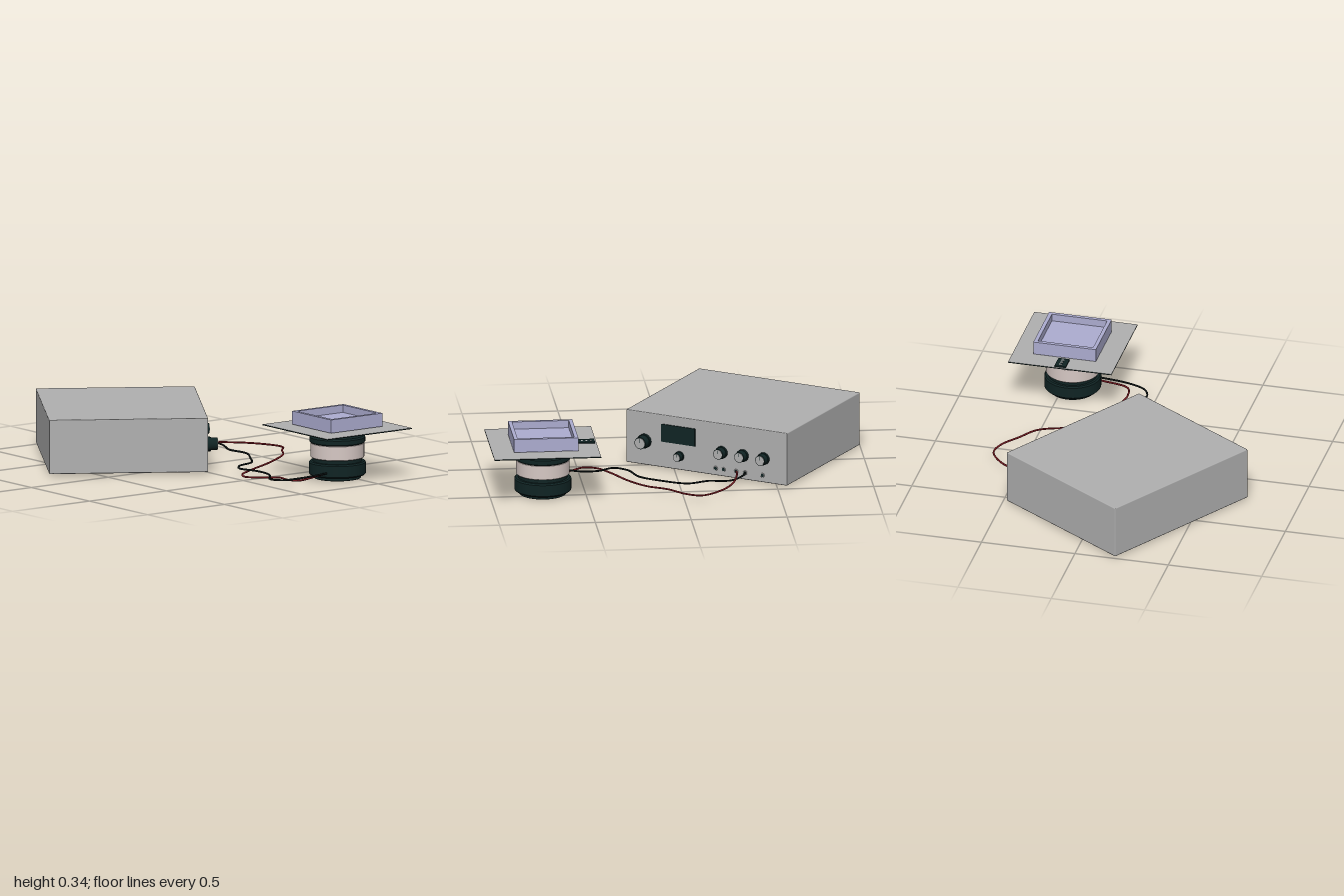
import * as THREE from 'three';
import { RoundedBoxGeometry } from 'three/addons/geometries/RoundedBoxGeometry.js';

const material = (name, color) => Object.assign(new THREE.MeshStandardMaterial({ color }), { name });

export function createModel() {
  const grey = material('case grey', 0xb0b0b0);
  const dark = material('dark plastic', 0x102424);
  const pale = material('pale metal', 0xd6c8c4);
  const lilac = material('tray lilac', 0xacacd0);
  const red = material('red wire', 0x7a1820);
  const black = material('black wire', 0x0b1212);

  const model = new THREE.Group();
  const add = (parent, name, geometry, mat, x = 0, y = 0, z = 0) => {
    const mesh = new THREE.Mesh(geometry, mat);
    mesh.name = name;
    mesh.position.set(x, y, z);
    parent.add(mesh);
    return mesh;
  };

  // Control unit: local +z is the outward direction of its control panel
  const unit = new THREE.Group();
  unit.name = 'controlUnit';
  unit.position.set(-0.1225, 0, -0.38);
  unit.rotation.y = 0.997;
  model.add(unit);
  const W = 0.94, D = 0.828, face = D / 2;
  add(unit, 'case', new RoundedBoxGeometry(W, 0.285, D, 1, 0.005), grey, 0, 0.1525, 0);
  add(unit, 'display', new THREE.BoxGeometry(0.197, 0.095, 0.008), dark, -0.164, 0.198, face + 0.002);

  // Dial with a wide skirt, a tapered grip and a pale cap
  const dial = (x, y, r, depth) => {
    const knob = new THREE.Group();
    knob.name = 'dial';
    knob.position.set(x, y, face);
    knob.rotation.x = Math.PI / 2;
    unit.add(knob);
    add(knob, 'dialSkirt', new THREE.CylinderGeometry(r, r, depth * 0.3, 28), dark, 0, depth * 0.15, 0);
    add(knob, 'dialGrip', new THREE.CylinderGeometry(r * 0.84, r * 0.92, depth, 28), dark, 0, depth / 2, 0);
    add(knob, 'dialCap', new THREE.CylinderGeometry(r * 0.74, r * 0.74, 0.003, 28), grey, 0, depth + 0.001, 0);
    add(knob, 'dialPointer', new THREE.BoxGeometry(r * 0.1, 0.003, r * 0.6), dark, 0, depth + 0.002, -r * 0.4);
  };
  dial(-0.36, 0.14, 0.038, 0.055);
  dial(-0.157, 0.085, 0.026, 0.035);
  for (const x of [0.09, 0.213, 0.335]) dial(x, 0.14, 0.033, 0.045);

  // Output sockets
  for (const x of [0.054, 0.1, 0.173, 0.226, 0.327]) {
    add(unit, 'socketRing', new THREE.TorusGeometry(0.009, 0.003, 8, 20), grey, x, 0.048, face);
    add(unit, 'socketHole', new THREE.CylinderGeometry(0.008, 0.008, 0.006, 16), dark, x, 0.048, face)
      .rotation.x = Math.PI / 2;
  }

  // Shaker body, a stack of turned sections
  const shaker = new THREE.Group();
  shaker.name = 'shaker';
  shaker.position.set(0.4465, 0, 0.72);
  model.add(shaker);
  const turned = (name, mat, r, y0, y1, bevel) => {
    const points = [[0, y0], [r - bevel, y0], [r, y0 + bevel], [r, y1 - bevel], [r - bevel, y1], [0, y1]];
    // Double points keep the chamfers crisp
    const profile = points.flatMap(([x, y]) => [new THREE.Vector2(x, y), new THREE.Vector2(x, y)]);
    add(shaker, name, new THREE.LatheGeometry(profile, 48), mat);
  };
  turned('foot', dark, 0.122, 0, 0.025, 0.002);
  turned('lowerBody', dark, 0.148, 0.018, 0.09, 0.007);
  turned('neck', dark, 0.128, 0.088, 0.114, 0.001);
  turned('middleBand', pale, 0.14, 0.11, 0.188, 0.003);
  turned('upperBody', dark, 0.145, 0.185, 0.224, 0.008);
  turned('stem', grey, 0.019, 0.22, 0.267, 0.001);

  // Square plate: grey on top, dark edges and underside
  add(shaker, 'plate', new THREE.BoxGeometry(0.553, 0.005, 0.556),
    [dark, dark, grey, dark, dark, dark], 0, 0.2675, 0);

  // Sensor board with small contacts
  add(shaker, 'sensorBoard', new THREE.BoxGeometry(0.06, 0.007, 0.085), dark, 0, 0.2735, -0.227);
  for (const z of [-0.25, -0.227, -0.204]) {
    add(shaker, 'sensorContact', new THREE.BoxGeometry(0.016, 0.002, 0.009), grey, 0.002, 0.2775, z);
  }

  // Open tray
  const T = 0.335, wall = 0.02, trayY = 0.274;
  add(shaker, 'trayFloor', new THREE.BoxGeometry(T - 0.01, 0.03, T - 0.01), lilac, 0.001, trayY + 0.016, -0.002);
  const half = T / 2, inner = half - wall;
  const outline = new THREE.Shape([[-half, -half], [half, -half], [half, half], [-half, half]]
    .map(p => new THREE.Vector2(...p)));
  outline.holes.push(new THREE.Path([[-inner, -inner], [-inner, inner], [inner, inner], [inner, -inner]]
    .map(p => new THREE.Vector2(...p))));
  const rim = new THREE.ExtrudeGeometry(outline, { depth: 0.07, bevelEnabled: false });
  add(shaker, 'trayWalls', rim, lilac, 0.001, trayY, -0.002).rotation.x = -Math.PI / 2;

  // Wires from the sockets to the shaker
  const wire = (name, mat, points) => {
    const curve = new THREE.CatmullRomCurve3(points.map(p => new THREE.Vector3(...p)));
    add(model, name, new THREE.TubeGeometry(curve, 160, 0.005, 8), mat);
  };
  wire('redWire', red, [
    [0.315, 0.048, -0.303], [0.37, 0.046, -0.3], [0.5, 0.038, -0.265], [0.6, 0.032, -0.195],
    [0.665, 0.028, -0.09], [0.645, 0.032, -0.01], [0.57, 0.038, 0.08], [0.5, 0.036, 0.18],
    [0.35, 0.024, 0.265], [0.17, 0.014, 0.34], [0.07, 0.01, 0.4], [0.045, 0.009, 0.465],
    [0.1, 0.011, 0.535], [0.155, 0.014, 0.605], [0.145, 0.016, 0.69], [0.165, 0.02, 0.765], [0.32, 0.04, 0.775],
  ]);
  wire('blackWire', black, [
    [0.345, 0.048, -0.347], [0.385, 0.046, -0.333], [0.435, 0.036, -0.27], [0.425, 0.03, -0.215],
    [0.402, 0.026, -0.15], [0.425, 0.022, -0.04], [0.355, 0.02, 0.095], [0.28, 0.022, 0.2],
    [0.165, 0.024, 0.25], [0.117, 0.024, 0.32], [0.153, 0.021, 0.4], [0.155, 0.021, 0.49],
    [0.115, 0.024, 0.58], [0.042, 0.028, 0.68], [0.07, 0.03, 0.75], [0.165, 0.036, 0.785], [0.32, 0.045, 0.795],
  ]);

  return model;
}
